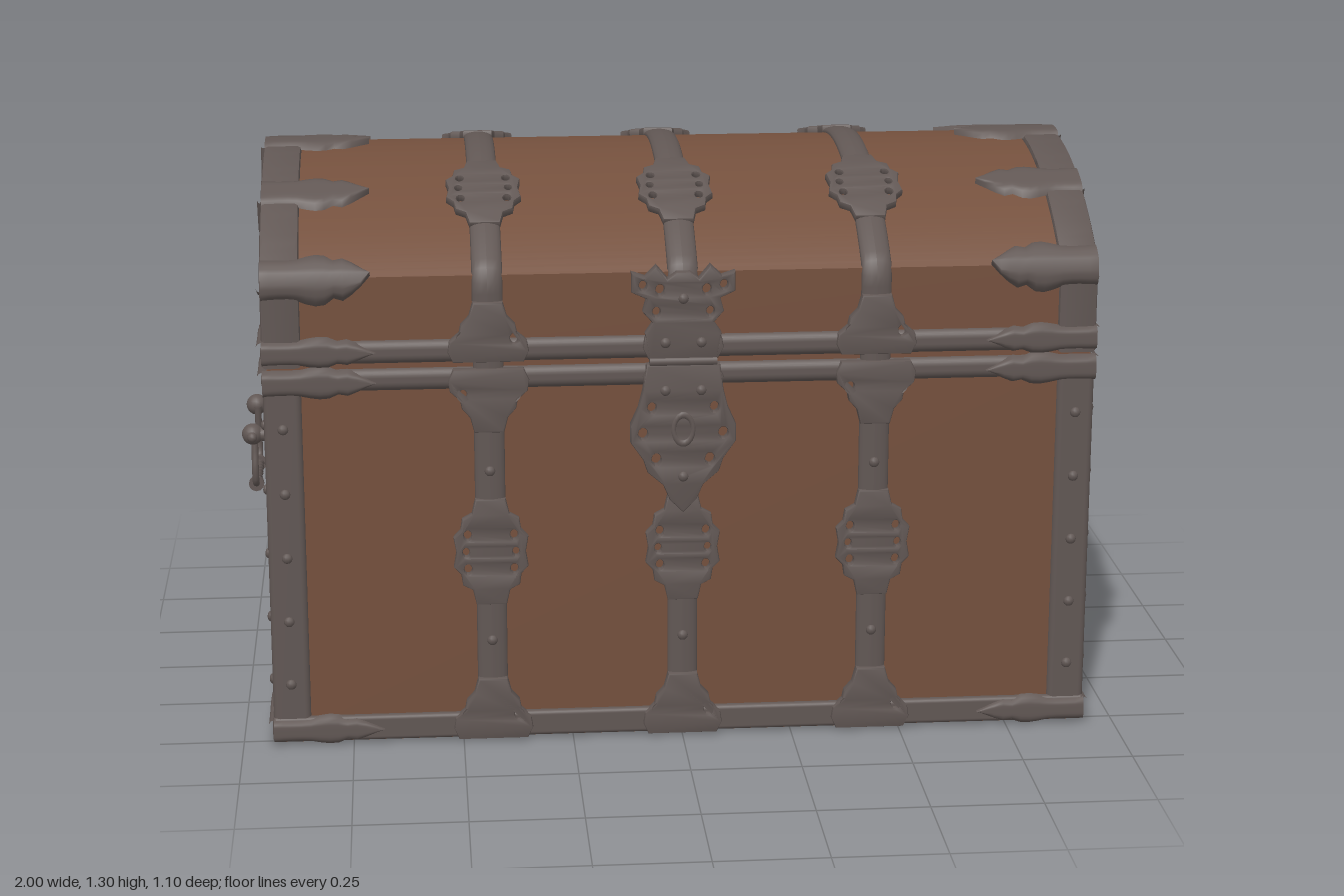
import * as THREE from 'three';
import { toCreasedNormals } from 'three/addons/utils/BufferGeometryUtils.js';
import { RoundedBoxGeometry } from 'three/addons/geometries/RoundedBoxGeometry.js';

const wood = new THREE.MeshStandardMaterial({ color: 0x74503d });
wood.name = 'wood';
const iron = new THREE.MeshStandardMaterial({ color: 0x615754 });
iron.name = 'iron';

// Lid arc of the wood: centre height, radius, half angle; half depth of the chest
const CY = 0.465, R = 0.81, HZ = 0.52, A = Math.asin(HZ / R), S = R * A;
const EDGE = CY + R * Math.cos(A);
const STRAPS = [-0.432, 0, 0.432];

function add(parent, name, geo, x = 0, y = 0, z = 0, mat = iron) {
  const mesh = new THREE.Mesh(geo, mat);
  mesh.name = name;
  mesh.position.set(x, y, z);
  parent.add(mesh);
  return mesh;
}

// Wraps a flat geometry round front, lid and back; local y = 0 is the crown
function wrap(geo, creased) {
  const p = geo.attributes.position;
  for (let i = 0; i < p.count; i++) {
    const s = -p.getY(i), h = p.getZ(i), sign = Math.sign(s);
    if (Math.abs(s) < S) {
      const t = s / R;
      p.setXYZ(i, p.getX(i), CY + (R + h) * Math.cos(t), (R + h) * Math.sin(t));
    } else p.setXYZ(i, p.getX(i), EDGE - (Math.abs(s) - S), sign * (HZ + h));
  }
  if (creased) return toCreasedNormals(geo, 0.6);
  geo.computeVertexNormals();
  return geo;
}

// Bevelled plate from the right half of an outline, mirrored in x; holes are [x, y, radius]
function plate(half, holes, depth) {
  const left = half.map(([x, y]) => [-x, y]).reverse();
  const shape = new THREE.Shape([...half, ...left].map(([x, y]) => new THREE.Vector2(x, y)));
  for (const [x, y, r] of holes) for (const side of [-1, 1]) {
    const hole = new THREE.Path();
    hole.absellipse(side * x, y, r, r * 1.3, 0, Math.PI * 2, true, 0);
    shape.holes.push(hole);
  }
  return toCreasedNormals(new THREE.ExtrudeGeometry(shape, {
    depth, bevelThickness: 0.005, bevelSize: 0.005, bevelOffset: -0.005, bevelSegments: 2, curveSegments: 5
  }), 0.6);
}

// Domed leaf lying along +x, its width following a profile
const LEAF = [0.8, 0.78, 0.76, 0.76, 0.8, 0.92, 1, 0.96, 0.72, 0.82, 0.6, 0.3, 0];
const TONGUE = [1, 0.99, 0.98, 0.97, 0.96, 0.94, 0.91, 0.87, 0.81, 0.73, 0.62, 0.46, 0];
function leaf(length, halfWidth, height = 0.016, profile = LEAF, angle = 0) {
  const geo = new THREE.PlaneGeometry(1, 2, 12, 10);
  const p = geo.attributes.position;
  for (let i = 0; i < p.count; i++) {
    const u = p.getX(i) + 0.5, v = p.getY(i);
    p.setXYZ(i, u * length, v * halfWidth * profile[Math.round(u * 12)], height * (1 - v ** 6));
  }
  geo.computeVertexNormals();
  return geo.rotateZ(angle);
}

const medallion = () => plate(
  [[0.034, -0.125], [0.042, -0.09], [0.064, -0.078], [0.068, -0.052], [0.084, -0.035], [0.078, 0],
    [0.084, 0.035], [0.068, 0.052], [0.064, 0.078], [0.042, 0.09], [0.034, 0.125]],
  [[0.052, -0.04, 0.009], [0.056, 0, 0.008], [0.052, 0.04, 0.009]], 0.012);

const foot = (height) => plate(
  [[0.078, 0.004], [0.09, 0.03], [0.086, 0.055], [0.064, 0.075], [0.06, 0.095], [0.042, 0.115], [0.033, 0.15]]
    .map(([x, y]) => [x, y * height / 0.15]), [[0.057, 0.062 * height / 0.15, 0.009]], 0.018);

const rivet = () => new THREE.SphereGeometry(0.012, 10, 6).scale(1, 1, 0.7);

// Fittings shared by every upright face: corner leaves and rivets
function addCornerFittings(face, half, rivetAt, z) {
  for (const side of [-1, 1]) {
    const angle = side > 0 ? Math.PI : 0;
    for (const [y, w] of [[0.85, 0.038], [0.919, 0.036], [0.034, 0.036]])
      add(face, 'cornerLeaf', leaf(0.25, w, 0.018, LEAF, angle), side * half, y, z + 0.004);
    for (let i = 0; i < 5; i++) add(face, 'rivet', rivet(), side * rivetAt, 0.145 + i * 0.15, z + 0.01);
  }
}

// Front and back: strap ornaments
function addLongFace(chest, name, angle) {
  const face = new THREE.Group();
  face.name = name;
  face.rotation.y = angle;
  chest.add(face);
  addCornerFittings(face, 0.93, 0.888, HZ);
  for (const x of STRAPS) {
    add(face, 'strapFoot', foot(0.15), x, 0, HZ);
    add(face, 'strapMedallion', medallion(), x, 0.45, HZ);
    add(face, 'strapHead', foot(0.15).rotateZ(Math.PI), x, 0.881, HZ);
    add(face, 'lidStrapFoot', foot(0.14), x, 0.889, HZ);
    add(face, 'rivet', rivet(), x, 0.24, HZ + 0.014);
    add(face, 'rivet', rivet(), x, 0.64, HZ + 0.014);
  }
  return face;
}

// Hanging handle with pierced plate, knobs, bail and twisted grip
function makeHandle() {
  const handle = new THREE.Group();
  handle.name = 'handle';
  add(handle, 'handlePlate', plate(
    [[0.015, -0.11], [0.05, -0.095], [0.1, -0.085], [0.115, -0.055], [0.16, -0.06], [0.19, -0.035], [0.215, -0.03],
      [0.25, 0], [0.215, 0.03], [0.19, 0.035], [0.165, 0.062], [0.12, 0.06], [0.09, 0.085], [0.045, 0.09], [0.02, 0.1], [0, 0.118]],
    [[0.03, 0.055, 0.011], [0.075, 0.05, 0.012], [0.06, -0.04, 0.012], [0.165, 0.02, 0.01], [0.165, -0.025, 0.01], [0.2, 0, 0.009]], 0.008));
  const grip = 0.085, out = 0.052;
  for (const side of [-1, 1]) {
    add(handle, 'knobStem', new THREE.CylinderGeometry(0.014, 0.022, 0.05, 12).rotateX(Math.PI / 2), side * 0.128, 0, 0.025);
    add(handle, 'knob', new THREE.SphereGeometry(0.025, 16, 12), side * 0.128, 0, 0.055);
    add(handle, 'knobTip', new THREE.SphereGeometry(0.012, 10, 8), side * 0.157, 0, 0.055);
    const bend = new THREE.CatmullRomCurve3([[0.105, 0], [0.112, -0.05], [0.118, -0.09], [0.11, -0.122], [grip, -0.134]]
      .map(([x, y]) => new THREE.Vector3(side * x, y, out)));
    add(handle, 'bailArm', new THREE.TubeGeometry(bend, 16, 0.008, 8));
    add(handle, 'gripCollar', new THREE.CylinderGeometry(0.018, 0.018, 0.012, 12).rotateZ(Math.PI / 2), side * grip, -0.134, out);
  }
  for (let k = 0; k < 3; k++) {
    const points = Array.from({ length: 41 }, (_, i) => {
      const a = i * 0.4 + k * Math.PI * 2 / 3;
      return new THREE.Vector3(-grip + i * grip / 20, -0.134 + 0.006 * Math.cos(a), out + 0.006 * Math.sin(a));
    });
    add(handle, 'twistedGrip', new THREE.TubeGeometry(new THREE.CatmullRomCurve3(points), 60, 0.007, 6));
  }
  return handle;
}

// Left and right ends: arched frame, tongues and handle
function addEndFace(chest, side) {
  const face = new THREE.Group();
  face.name = side > 0 ? 'leftEnd' : 'rightEnd';
  face.rotation.y = side * Math.PI / 2;
  face.position.x = side * 0.92;
  chest.add(face);
  addCornerFittings(face, 0.53, 0.486, 0);
  const a = Math.asin(0.53 / 0.822), b = Math.asin(0.445 / 0.755), up = Math.PI / 2;
  const arch = new THREE.Shape();
  arch.moveTo(0.445, 0.885).lineTo(0.53, 0.885);
  arch.absarc(0, CY, 0.822, up - a, up + a, false);
  arch.lineTo(-0.53, 0.885).lineTo(-0.445, 0.885);
  arch.absarc(0, 0.425, 0.755, up + b, up - b, true);
  add(face, 'archFrame', toCreasedNormals(new THREE.ExtrudeGeometry(arch, {
    depth: 0.07, bevelThickness: 0.008, bevelSize: 0.008, bevelOffset: -0.008, bevelSegments: 2, curveSegments: 24
  }), 0.5), 0, 0, -0.068);
  for (const t of [-0.36, 0, 0.36])
    add(face, 'archTongue', leaf(0.105, 0.053, 0.014, TONGUE, Math.atan2(-Math.cos(t), -Math.sin(t))),
      0.818 * Math.sin(t), CY + 0.818 * Math.cos(t), 0.004);
  for (const s of [-1, 1])
    add(face, 'archCornerTongue', leaf(0.08, 0.032, 0.014, TONGUE, Math.atan2(-0.5, -s)), s * 0.52, 1.085, 0.004);
  const handle = makeHandle();
  handle.position.y = 0.62;
  face.add(handle);
}

export function createModel() {
  const chest = new THREE.Group();
  chest.name = 'chest';

  // Wooden body, base and arched lid
  add(chest, 'body', new THREE.BoxGeometry(1.84, 0.875, 2 * HZ), 0, 0.4425, 0, wood);
  add(chest, 'base', new THREE.BoxGeometry(1.84, 0.01, 1.04), 0, 0.008, 0, wood);
  const profile = new THREE.Shape();
  profile.moveTo(-HZ, 0.88).lineTo(HZ, 0.88);
  profile.absarc(0, CY, R, Math.PI / 2 - A, Math.PI / 2 + A, false);
  const lid = new THREE.ExtrudeGeometry(profile, { depth: 1.836, bevelEnabled: false, curveSegments: 28 });
  add(chest, 'lid', toCreasedNormals(lid.translate(0, 0, -0.918).rotateY(Math.PI / 2), 0.4), 0, 0, 0, wood);

  // Iron rails and corner posts
  for (const [name, y, h] of [['bottomRail', 0.035, 0.06], ['bodyRim', 0.854, 0.054], ['lidRim', 0.917, 0.056]])
    add(chest, name, new RoundedBoxGeometry(1.866, h, 1.066, 4, name === 'bottomRail' ? 0.01 : 0.022), 0, y, 0);
  for (const x of [-1, 1]) for (const z of [-1, 1]) {
    add(chest, 'cornerPost', new RoundedBoxGeometry(0.085, 0.85, 0.085, 3, 0.014), x * 0.8875, 0.43, z * 0.4875);
    const foot = add(chest, 'baseCorner', new THREE.CylinderGeometry(0.15, 0.15, 0.006, 12, 1, false, 0, Math.PI / 2), x * 0.925, 0.003, z * 0.525);
    foot.rotation.y = Math.atan2(x, z) + Math.PI * 0.75;
  }

  // Straps running round the chest, with bent lid ornaments
  const length = 2 * (S + EDGE);
  for (const x of STRAPS) {
    const strap = new THREE.CylinderGeometry(1, 1, length - 0.02, 16, 130, true).scale(0.034, 1, 0.014);
    add(chest, 'strap', wrap(strap.translate(x, 0, 0.001)));
    for (const s of [-0.3, 0.3]) add(chest, 'lidMedallion', wrap(medallion().translate(x, s, 0.001), true));
  }
  for (const side of [-1, 1]) for (const s of [-S, -0.3, 0, 0.3, S])
    add(chest, 'lidLeaf', wrap(leaf(0.24, 0.062, 0.016, LEAF, side > 0 ? Math.PI : 0).translate(side * 0.928, s, 0.005)));

  // Upright faces
  const front = addLongFace(chest, 'front', 0);
  const back = addLongFace(chest, 'back', Math.PI);
  addEndFace(chest, 1);
  addEndFace(chest, -1);

  // Hinges
  for (const x of STRAPS)
    add(back, 'hinge', new THREE.CylinderGeometry(0.012, 0.012, 0.2, 12).rotateZ(Math.PI / 2), x, 0.885, 0.535);

  // Lock with hasp and keyhole guard
  add(front, 'lockPlate', plate(
    [[0, 0.535], [0.03, 0.565], [0.045, 0.6], [0.08, 0.63], [0.09, 0.66], [0.118, 0.7], [0.118, 0.74], [0.1, 0.78], [0.09, 0.82], [0.082, 0.88]],
    [[0.06, 0.66, 0.011], [0.09, 0.72, 0.011], [0.07, 0.78, 0.01]], 0.02), 0, 0, HZ);
  add(front, 'haspPlate', plate(
    [[0.075, 0.893], [0.085, 0.95], [0.068, 0.975], [0.09, 1.0], [0.082, 1.03], [0.115, 1.045], [0.115, 1.09], [0.085, 1.08],
      [0.06, 1.105], [0.035, 1.075], [0.015, 1.09]],
    [[0.06, 1.0, 0.009], [0.09, 1.06, 0.009], [0.052, 1.05, 0.01]], 0.02), 0, 0, HZ);
  add(front, 'haspPin', new THREE.CylinderGeometry(0.012, 0.012, 0.15, 12).rotateZ(Math.PI / 2), 0, 0.886, 0.536);
  add(front, 'keyholeGuard', new THREE.TorusGeometry(0.022, 0.006, 8, 18).scale(1, 1.5, 1), 0, 0.73, 0.543);
  for (const [x, y] of [[-0.04, 0.82], [0.04, 0.82], [0, 0.62], [-0.04, 0.93], [0.04, 0.93], [0, 1.03]])
    add(front, 'lockRivet', rivet(), x, y, 0.544);
  return chest;
}
